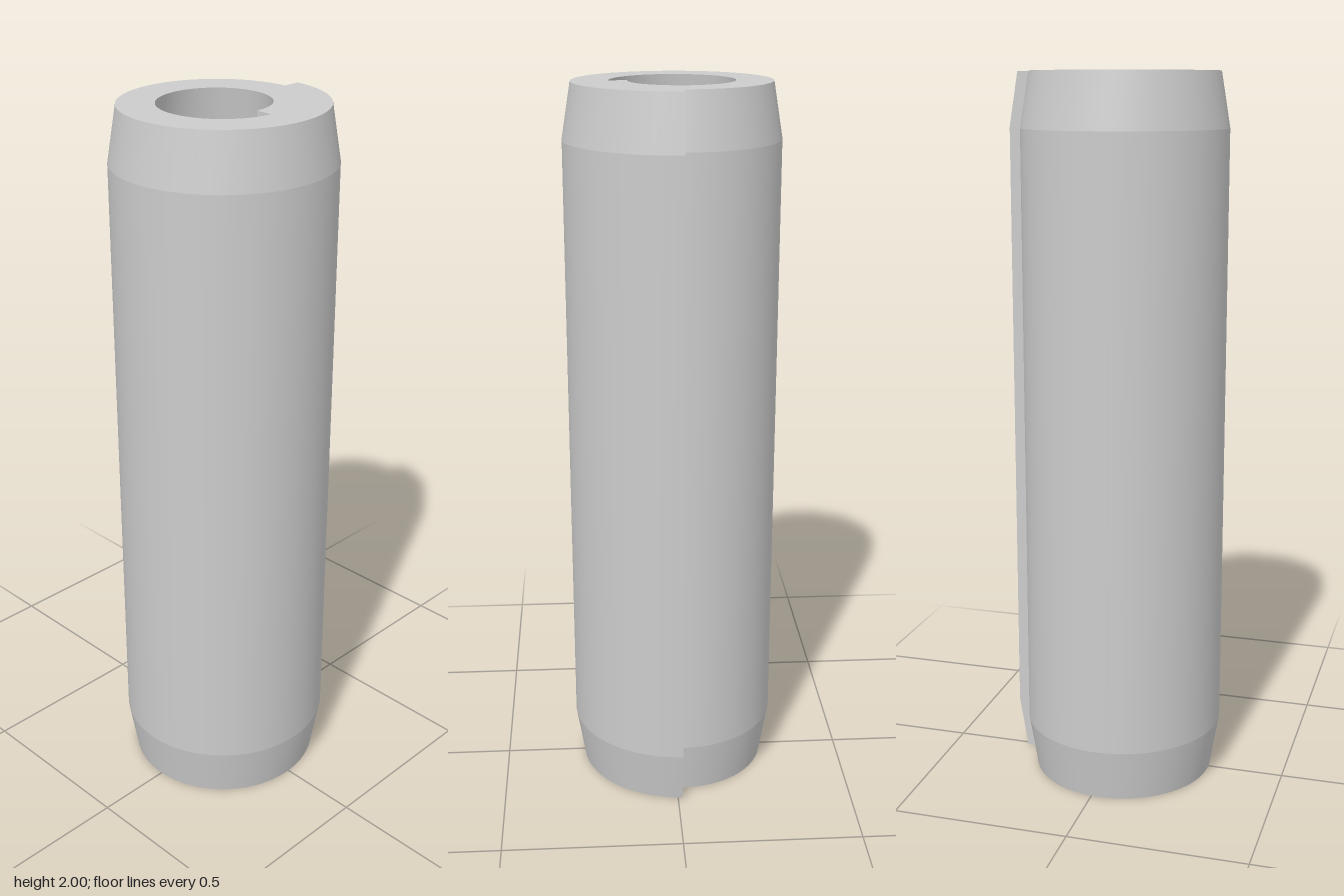
import * as THREE from 'three';
import { mergeGeometries } from 'three/addons/utils/BufferGeometryUtils.js';

const CX = -0.013, CZ = -0.0135;  // spiral axis
const R0 = 0.318, T = 0.05;       // outermost radius; sheet thickness = pitch per turn
const TURNS = 2.25, SEGMENTS = 162;
const SWAGE = 0.025;              // inward bend of the sheet at both ends

// Closed section of the rolled sheet as [radial offset, height]: up the outside, down the inside
const outer = [[-SWAGE, 0], [0, 0.15], [0, 1.85], [-SWAGE, 2]];
const inner = outer.map(([r, y]) => [r - T, y]);
const section = [...outer, ...inner.slice().reverse()];

// Point of the section at a given number of turns along the spiral
function place([offset, y], turn) {
  const a = turn * Math.PI * 2, r = R0 - T * turn + offset;
  return [CX + r * Math.cos(a), y, CZ + r * Math.sin(a)];
}

function build(points, index) {
  const g = new THREE.BufferGeometry();
  g.setAttribute('position', new THREE.Float32BufferAttribute(points.flat(), 3));
  g.setIndex(index);
  g.computeVertexNormals();
  return g;
}

// One section edge swept along the spiral: smooth around, sharp at the edges
function ribbon(p, q) {
  const points = [], index = [];
  for (let i = 0; i <= SEGMENTS; i++) {
    const turn = (i / SEGMENTS) * TURNS;
    points.push(place(p, turn), place(q, turn));
    if (i < SEGMENTS) {
      const k = i * 2;
      index.push(k, k + 1, k + 2, k + 1, k + 3, k + 2);
    }
  }
  return build(points, index);
}

// Flat end of the sheet at the seam
function seam(turn, flip) {
  const points = [], index = [];
  outer.forEach((p, k) => {
    points.push(place(p, turn), place(inner[k], turn));
    if (k < outer.length - 1) {
      const a = k * 2, b = a + 1, c = a + 2, d = a + 3;
      index.push(...(flip ? [a, b, c, b, d, c] : [a, c, b, b, c, d]));
    }
  });
  return build(points, index);
}

export function createModel() {
  const group = new THREE.Group();
  group.name = 'coiledSpringPin';
  const material = new THREE.MeshStandardMaterial({ color: 0xcccccc });
  const add = (name, geometry) => {
    const mesh = new THREE.Mesh(geometry, material);
    mesh.name = name;
    group.add(mesh);
  };

  // Rolled sheet
  add('rolledSheet', mergeGeometries(
    section.map((p, k) => ribbon(p, section[(k + 1) % section.length]))));

  // Exposed sheet ends
  add('outerSeam', seam(0, true));
  add('innerSeam', seam(TURNS, false));
  return group;
}
